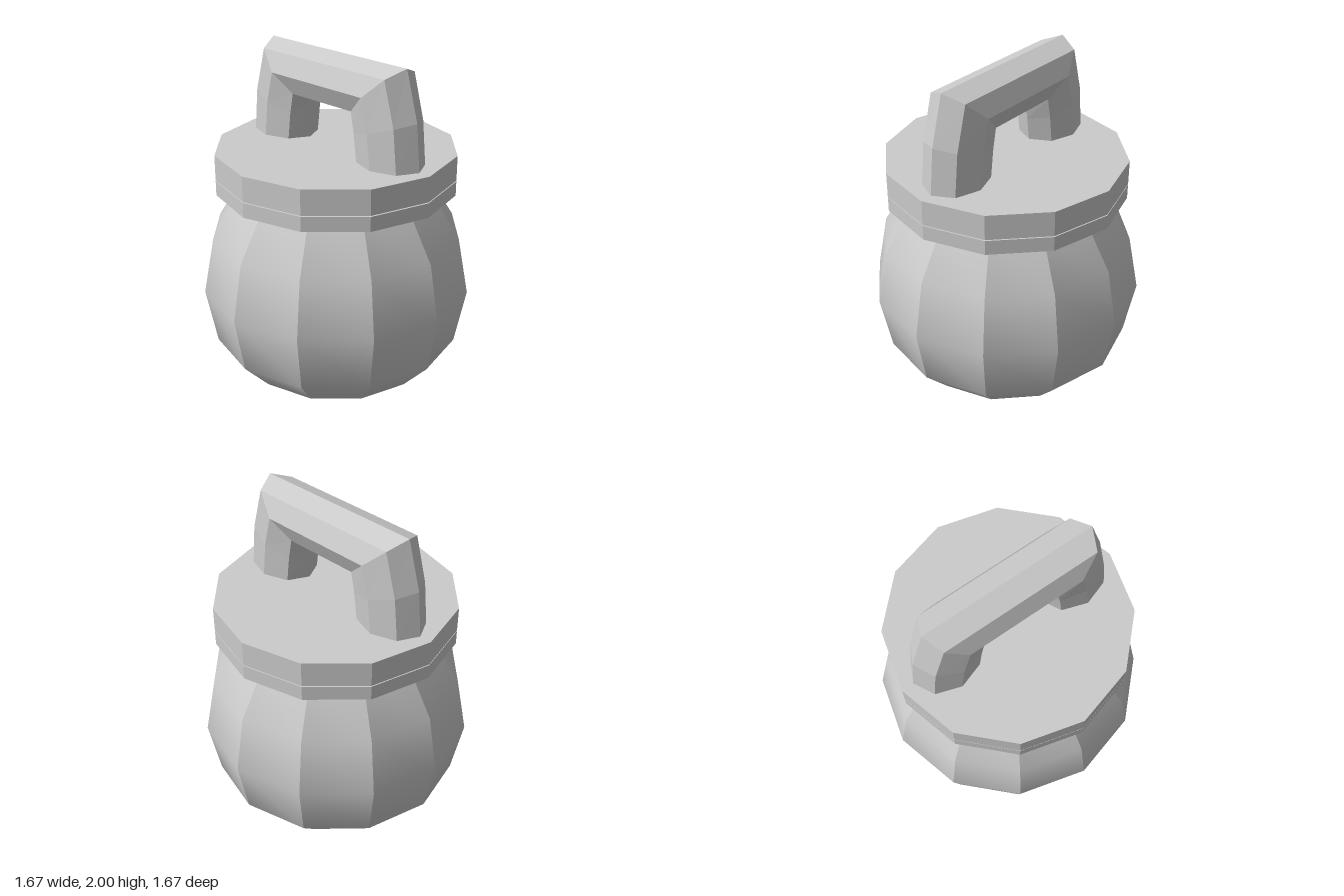
import * as THREE from 'three';
import { mergeGeometries } from 'three/addons/utils/BufferGeometryUtils.js';

const SIDES = 12;

function makeMesh(name, geometry, flatShading) {
  const material = new THREE.MeshStandardMaterial({ color: 0xcccccc, flatShading });
  const mesh = new THREE.Mesh(geometry, material);
  mesh.name = name;
  return mesh;
}

// Twelve bulging staves: smooth up and down, creased between neighbours
function staveBody(profile) {
  const step = (Math.PI * 2) / SIDES;
  const staves = [];
  for (let i = 0; i < SIDES; i++) {
    const stave = new THREE.LatheGeometry(profile, 1, i * step, step);
    stave.computeVertexNormals();
    staves.push(stave);
  }
  return mergeGeometries(staves);
}

// Flat-sided disc between two heights
function disc(name, radius, bottom, top) {
  const geometry = new THREE.CylinderGeometry(radius, radius, top - bottom, SIDES);
  geometry.translate(0, (bottom + top) / 2, 0);
  return makeMesh(name, geometry, true);
}

// Octagonal bar swept through mitred rings, each given by its outer and inner point
function handleGeometry() {
  const half = [
    { outer: [0.66, 1.42], inner: [0.225, 1.42] },
    { outer: [0.632, 1.705], inner: [0.205, 1.57] },
    { outer: [0.547, 2.0], inner: [0.19, 1.67] },
  ];
  const mirrored = half.map(({ outer, inner }) => ({
    outer: [-outer[0], outer[1]],
    inner: [-inner[0], inner[1]],
  })).reverse();
  const rings = [...half, ...mirrored];
  const n = 8;
  const depth = 0.176;
  const positions = [];
  const index = [];

  rings.forEach(({ outer, inner }, i) => {
    for (let j = 0; j < n; j++) {
      const angle = (j / n) * Math.PI * 2;
      const t = (1 + Math.cos(angle)) / 2;
      positions.push(
        THREE.MathUtils.lerp(inner[0], outer[0], t),
        THREE.MathUtils.lerp(inner[1], outer[1], t),
        depth * Math.sin(angle)
      );
      if (i < rings.length - 1) {
        const a = i * n + j;
        const b = i * n + ((j + 1) % n);
        index.push(a, a + n, b, b, a + n, b + n);
      }
    }
  });

  const geometry = new THREE.BufferGeometry();
  geometry.setAttribute('position', new THREE.Float32BufferAttribute(positions, 3));
  geometry.setIndex(index);
  const faceted = geometry.toNonIndexed();
  faceted.computeVertexNormals();
  return faceted;
}

export function createModel() {
  const model = new THREE.Group();
  model.name = 'handledWeight';

  // Rounded body and its flat base
  const profile = [
    [0.593, 0], [0.77, 0.19], [0.837, 0.54], [0.77, 0.89], [0.59, 1.18],
  ].map(([r, y]) => new THREE.Vector2(r, y));
  model.add(makeMesh('body', staveBody(profile), false));

  const base = new THREE.CircleGeometry(0.593, SIDES);
  base.rotateX(Math.PI / 2);
  model.add(makeMesh('base', base, true));

  // Collar and lid with a hairline seam between them
  model.add(disc('collar', 0.736, 1.175, 1.265));
  model.add(disc('lid', 0.736, 1.271, 1.425));

  // Grip on top
  model.add(makeMesh('handle', handleGeometry(), true));

  return model;
}
